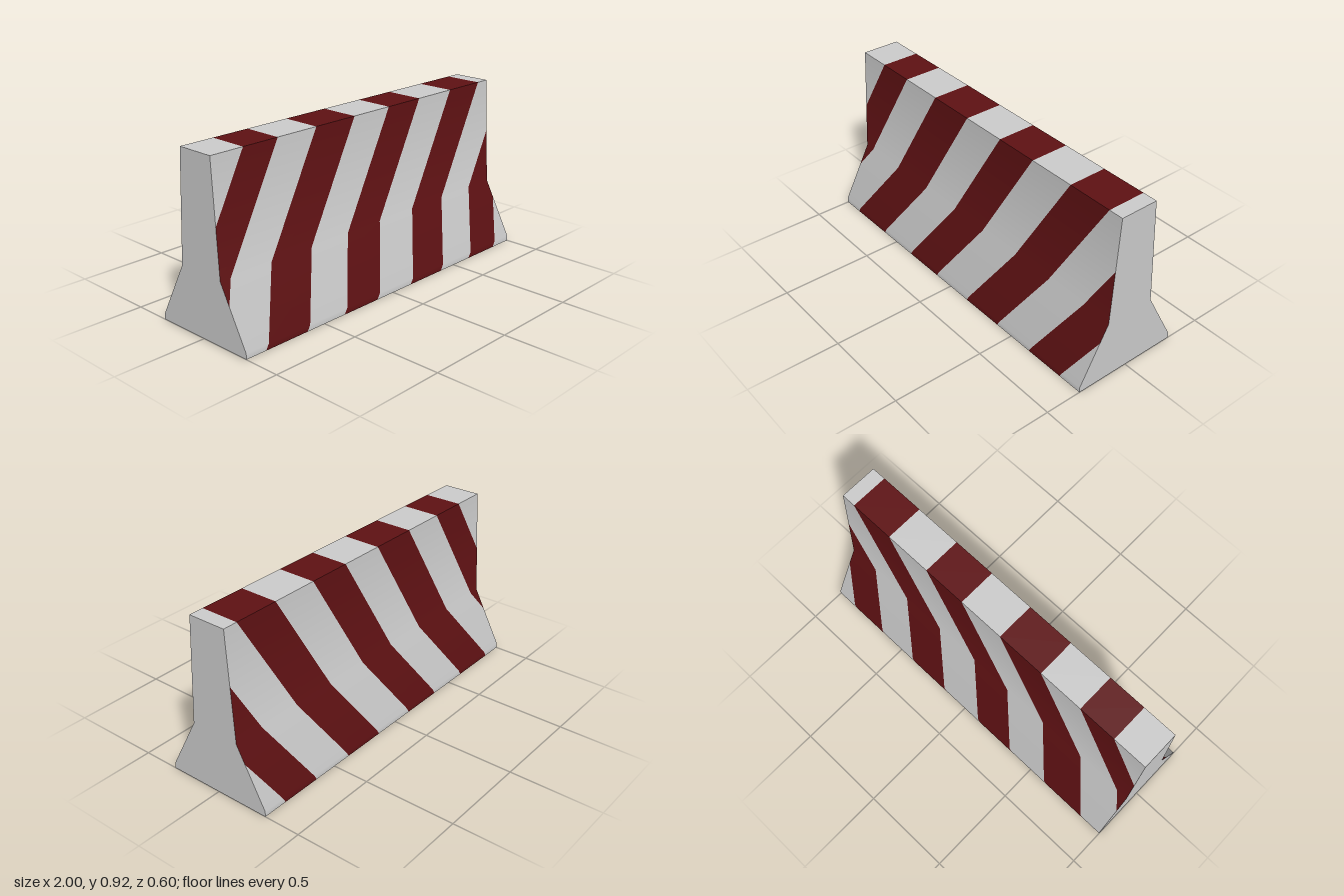
import * as THREE from 'three';

const HALF = 1, H = 0.92, LEAN = 0.576;
// Half cross-section from floor to top: [y, z]
const PROFILE = [[0, 0.3], [0.03, 0.3], [0.333, 0.138], [H, 0.105]];
// Stripe boundaries at floor level; every second band is red
const EDGES = [-3, -1.34, -1.13, -0.88, -0.615, -0.36, -0.12, 0.14, 0.39, 0.635, 0.86, 3];

// Smooth side normals [ny, nz] at each profile point
const segNormals = PROFILE.slice(1).map(([y, z], i) =>
  new THREE.Vector2(PROFILE[i][1] - z, y - PROFILE[i][0]).normalize());
const normals = PROFILE.map((_, i) => {
  const a = segNormals[Math.max(i - 1, 0)], b = segNormals[Math.min(i, segNormals.length - 1)];
  return a.clone().add(b).normalize();
});

// Depth and normal of the side at height y
function sideAt(y) {
  let i = 0;
  while (i < PROFILE.length - 2 && y > PROFILE[i + 1][0]) i++;
  const t = (y - PROFILE[i][0]) / (PROFILE[i + 1][0] - PROFILE[i][0]);
  const n = normals[i].clone().lerp(normals[i + 1], t).normalize();
  return { y, z: THREE.MathUtils.lerp(PROFILE[i][1], PROFILE[i + 1][1], t), n };
}

// Rows include every height where a stripe edge runs off an end
const rows = [...new Set([
  ...PROFILE.map(p => p[0]),
  ...EDGES.flatMap(b => [(-HALF - b) / LEAN, (HALF - b) / LEAN]).filter(y => y > 0 && y < H),
])].sort((a, b) => a - b).map(sideAt);

const edgeX = (b, y) => THREE.MathUtils.clamp(b + LEAN * y, -HALF, HALF);

function bandGeometry(left, right) {
  const pos = [], nor = [];
  // Corners are [point, normal], counter-clockwise from outside
  const quad = (...c) => {
    if (c[0][0][0] === c[1][0][0] && c[2][0][0] === c[3][0][0]) return;
    for (const i of [0, 1, 2, 0, 2, 3]) { pos.push(...c[i][0]); nor.push(...c[i][1]); }
  };
  // Front and back sides
  for (let r = 0; r < rows.length - 1; r++) {
    for (const s of [1, -1]) {
      const corner = (b, row) =>
        [[edgeX(b, row.y), row.y, s * row.z], [0, row.n.x, s * row.n.y]];
      const [a, b] = s > 0 ? [left, right] : [right, left];
      quad(corner(a, rows[r]), corner(b, rows[r]), corner(b, rows[r + 1]), corner(a, rows[r + 1]));
    }
  }
  // Top and underside
  for (const [y, z, ny] of [[H, 0.105, 1], [0, 0.3, -1]]) {
    const l = edgeX(left, y), r = edgeX(right, y), n = [0, ny, 0];
    quad([[l, y, ny * z], n], [[r, y, ny * z], n], [[r, y, -ny * z], n], [[l, y, -ny * z], n]);
  }
  const g = new THREE.BufferGeometry();
  g.setAttribute('position', new THREE.Float32BufferAttribute(pos, 3));
  g.setAttribute('normal', new THREE.Float32BufferAttribute(nor, 3));
  return g;
}

export function createModel() {
  const model = new THREE.Group();
  model.name = 'roadBarrier';
  const concrete = new THREE.MeshStandardMaterial({ color: 0xcccccc });
  const red = new THREE.MeshStandardMaterial({ color: 0x5e1113 });

  // Slanted bands cut straight through the barrier
  for (let i = 0; i < EDGES.length - 1; i++) {
    const isRed = i % 2 === 1;
    const band = new THREE.Mesh(bandGeometry(EDGES[i], EDGES[i + 1]), isRed ? red : concrete);
    band.name = (isRed ? 'redStripe' : 'concreteBand') + i;
    model.add(band);
  }

  // Plain end faces
  const outline = [
    ...PROFILE.map(([y, z]) => new THREE.Vector2(z, y)),
    ...[...PROFILE].reverse().map(([y, z]) => new THREE.Vector2(-z, y)),
  ];
  const endGeometry = new THREE.ShapeGeometry(new THREE.Shape(outline));
  for (const s of [1, -1]) {
    const end = new THREE.Mesh(endGeometry, concrete);
    end.name = s > 0 ? 'leftEnd' : 'rightEnd';
    end.rotation.y = s * Math.PI / 2;
    end.position.x = s * HALF;
    model.add(end);
  }
  return model;
}
